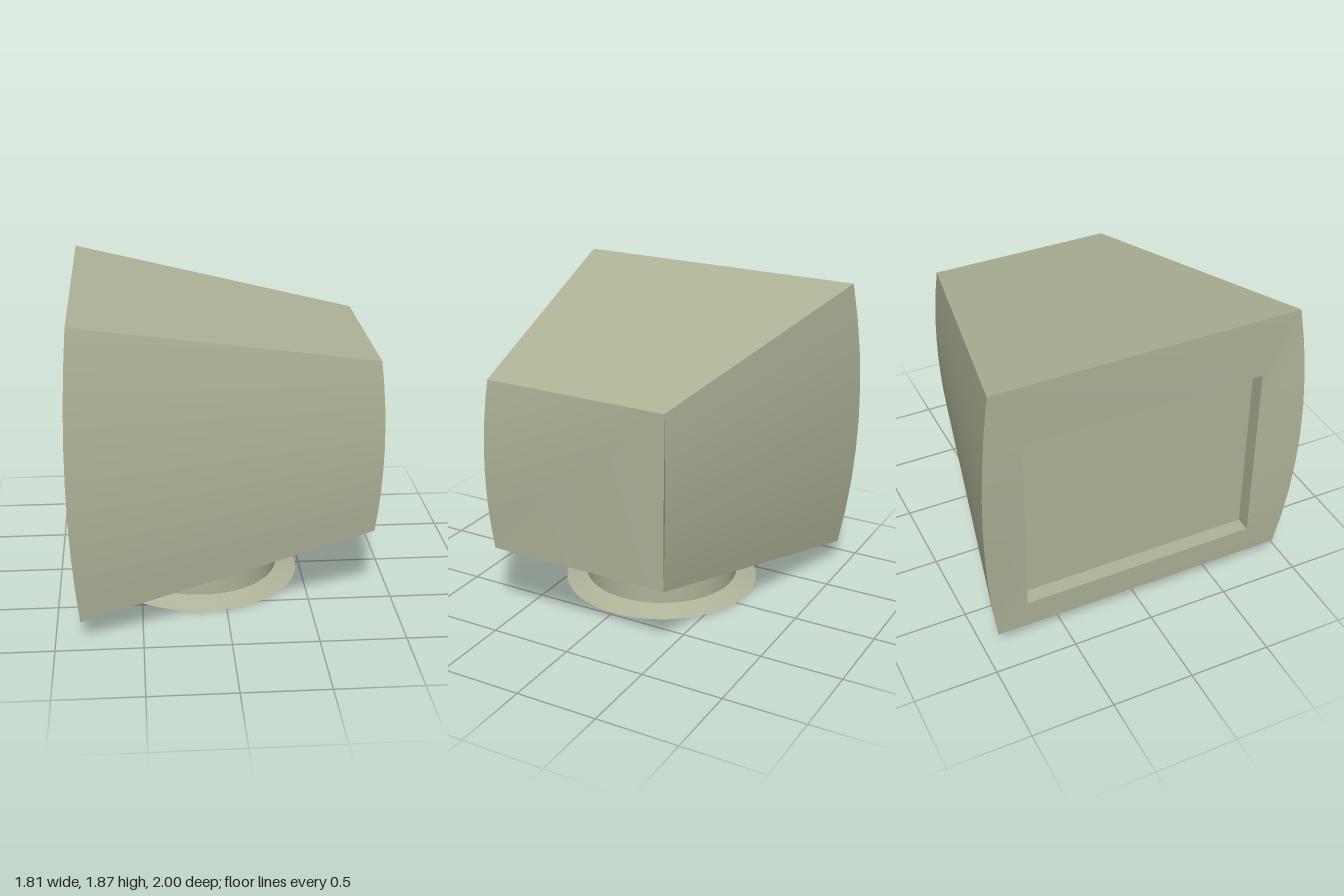
import * as THREE from 'three';
import { toCreasedNormals } from 'three/addons/utils/BufferGeometryUtils.js';

const N = 8; // segments along each bowed side edge

// Closed cross-section: up the +z side, then down the -z side.
// point(t, side) gives [x, y, z] for t from -1 (bottom) to 1 (top).
function ring(point) {
  const pts = [];
  for (const side of [1, -1]) {
    for (let i = 0; i <= N; i++) pts.push(point(side * (2 * i / N - 1), side));
  }
  return pts;
}

// Skin between two rings
function skin(a, b) {
  const out = [];
  for (let i = 0; i < a.length; i++) {
    const j = (i + 1) % a.length;
    out.push(...a[i], ...b[i], ...b[j], ...a[i], ...b[j], ...a[j]);
  }
  return out;
}

// Fan that closes a ring towards +x, from its top -z corner
function cap(pts) {
  const out = [], c = N + 1, n = pts.length;
  for (let k = 1; k < n - 1; k++) {
    out.push(...pts[c], ...pts[(c + k + 1) % n], ...pts[(c + k) % n]);
  }
  return out;
}

function toGeometry(positions) {
  const g = new THREE.BufferGeometry();
  g.setAttribute('position', new THREE.Float32BufferAttribute(positions, 3));
  return toCreasedNormals(g, 0.3);
}

export function createModel() {
  const group = new THREE.Group();
  const material = new THREE.MeshStandardMaterial({ color: 0xb0b498 });
  const add = (name, geometry) => {
    const mesh = new THREE.Mesh(geometry, material);
    mesh.name = name;
    group.add(mesh);
    return mesh;
  };

  // Cross-sections of the housing, with sides bowed outwards at mid height
  const bow = t => 1 - t * t;
  const large = ring((t, s) => [
    -0.8625 - 0.0075 * t - 0.04 * bow(t), 1 + 0.865 * t, s * (0.925 + 0.075 * bow(t))]);
  const small = ring((t, s) => [
    0.872 + 0.033 * bow(t), 1 + 0.525 * t, s * (0.565 + 0.025 * bow(t))]);

  // Rectangular screen recess in the large end
  const screen = { y: 0.9, z: -0.01, height: 1.16, width: 1.46, front: -0.863, back: -0.77 };
  const recess = x => ring((t, s) => [
    x, screen.y + t * screen.height / 2, screen.z + s * screen.width / 2]);
  const opening = recess(screen.front);

  add('housing', toGeometry([...skin(large, small), ...cap(small)]));
  add('screenFrame', toGeometry(skin(opening, large)));
  add('recessWalls', toGeometry(skin(recess(screen.back), opening)));

  const panel = add('screen', new THREE.PlaneGeometry(screen.width, screen.height));
  panel.rotation.y = -Math.PI / 2;
  panel.position.set(screen.back, screen.y, screen.z);

  // Round pedestal with a sloping foot flange
  const profile = [[0, 0], [0.61, 0], [0.48, 0.04], [0.48, 0.35], [0, 0.35]]
    .map(([r, y]) => new THREE.Vector2(r, y));
  const pedestal = add('pedestal', toCreasedNormals(new THREE.LatheGeometry(profile, 64), 0.3));
  pedestal.position.set(-0.13, 0, -0.007);

  return group;
}
